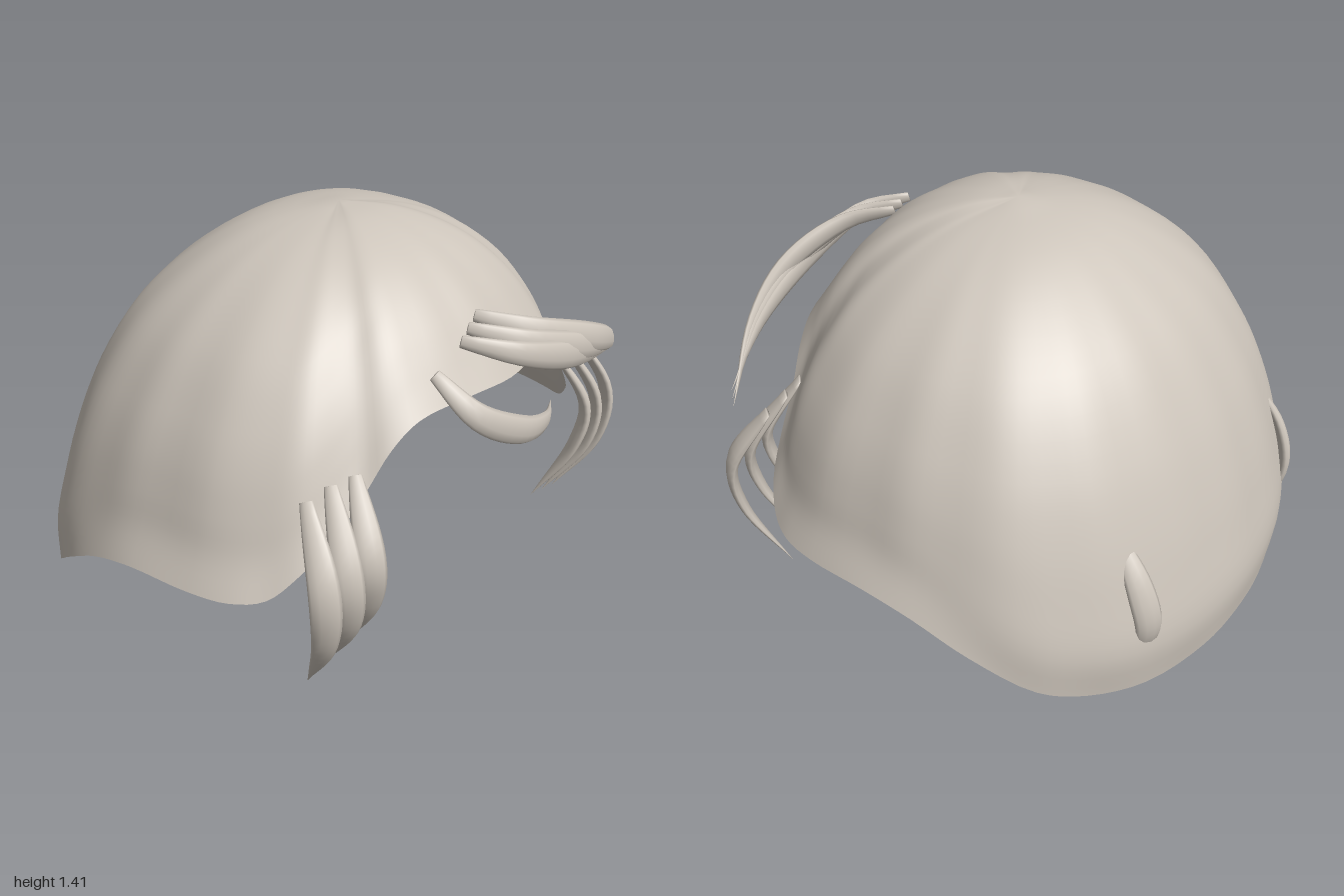
import * as THREE from 'three';
import { mergeVertices } from 'three/addons/utils/BufferGeometryUtils.js';

const V = (p) => new THREE.Vector3(...p);

function meshGeometry(positions, index) {
  let g = new THREE.BufferGeometry();
  g.setAttribute('position', new THREE.Float32BufferAttribute(positions, 3));
  g.setIndex(index);
  g = mergeVertices(g, 1e-5);
  g.computeVertexNormals();
  return g;
}

// Hem of the cap, from front centre round the left side to the back centre
const HEM = [
  [0, 0.96, 0.77], [0.2, 0.96, 0.74], [0.4, 0.94, 0.69], [0.5, 0.87, 0.66], [0.59, 0.75, 0.63],
  [0.7, 0.63, 0.6], [0.81, 0.53, 0.55], [0.89, 0.45, 0.48], [0.95, 0.43, 0.38], [0.985, 0.43, 0.24],
  [1, 0.43, 0], [0.985, 0.385, -0.18], [0.94, 0.28, -0.37], [0.83, 0.135, -0.565], [0.7, 0.07, -0.68],
  [0.5, 0.025, -0.795], [0.22, 0.005, -0.87], [0, 0, -0.885],
];

// Crown-to-hem profiles: [share of reach, share of drop]
const FRONT = [[0, 0], [0.2, 0.025], [0.38, 0.1], [0.54, 0.215], [0.68, 0.37], [0.79, 0.54], [0.87, 0.7], [0.94, 0.86], [1, 1]];
const SIDE = [[0, 0], [0.26, 0.05], [0.47, 0.147], [0.67, 0.315], [0.8, 0.5], [0.865, 0.63], [0.91, 0.76], [0.945, 0.88], [1, 1]];
const BACK = [[0, 0], [0.29, 0.042], [0.5, 0.125], [0.68, 0.24], [0.83, 0.41], [0.92, 0.57], [0.98, 0.72], [1.022, 0.87], [1, 1]];

const profile = (pts) => new THREE.CatmullRomCurve3(pts.map(([h, v]) => new THREE.Vector3(h, v, 0)));

function capGeometry() {
  const mirrored = HEM.slice(1, -1).reverse().map(([x, y, z]) => [-x, y, z]);
  const hem = new THREE.CatmullRomCurve3([...HEM, ...mirrored].map(V), true);
  const [front, side, back] = [FRONT, SIDE, BACK].map(profile);
  const crown = new THREE.Vector3(0, 1.41, 0.06);
  const around = 136, down = 32;
  const pos = [], index = [];
  for (let i = 0; i < around; i++) {
    const end = hem.getPoint(i / around);
    const toFront = THREE.MathUtils.clamp((end.y - 0.43) / 0.53, 0, 1);
    const toBack = THREE.MathUtils.clamp((0.43 - end.y) / 0.43, 0, 1);
    const angle = Math.atan2(end.x, end.z - crown.z);
    for (let j = 0; j <= down; j++) {
      const t = j / down;
      const s = side.getPoint(t);
      s.lerp(front.getPoint(t), toFront).lerp(back.getPoint(t), toBack);
      // soft combed grooves fading out at crown and hem
      const reach = s.x * (1 + 0.006 * Math.cos(angle * 18) * Math.sin(Math.PI * t));
      pos.push(
        crown.x + (end.x - crown.x) * reach,
        crown.y + (end.y - crown.y) * s.y,
        crown.z + (end.z - crown.z) * reach,
      );
    }
  }
  for (let i = 0; i < around; i++) {
    for (let j = 0; j < down; j++) {
      const a = i * (down + 1) + j, b = ((i + 1) % around) * (down + 1) + j;
      index.push(a, a + 1, b + 1);
      if (j > 0) index.push(a, b + 1, b);
    }
  }
  return meshGeometry(pos, index);
}

// Flattened lock swept along a path, facing away from the head:
// blunt root, full middle, pointed tip
function lockGeometry(points, width, depth) {
  const path = new THREE.CatmullRomCurve3(points.map(V));
  const steps = 22, sides = 10;
  const pos = [], index = [];
  const swell = (t) => (t < 0.4
    ? 0.42 + 0.58 * Math.sin((t / 0.4) * Math.PI / 2)
    : Math.max(0.02, Math.cos(((t - 0.4) / 0.6) * Math.PI / 2)));
  for (let s = 0; s <= steps; s++) {
    const t = s / steps;
    const p = path.getPointAt(t), tangent = path.getTangentAt(t);
    const normal = new THREE.Vector3(p.x, 0, p.z).normalize();
    normal.addScaledVector(tangent, -tangent.dot(normal)).normalize();
    const across = tangent.clone().cross(normal);
    for (let k = 0; k < sides; k++) {
      const a = (k / sides) * Math.PI * 2;
      const q = p.clone()
        .addScaledVector(across, Math.cos(a) * width / 2 * swell(t))
        .addScaledVector(normal, Math.sin(a) * depth / 2 * swell(t));
      pos.push(q.x, q.y, q.z);
    }
  }
  for (let s = 0; s < steps; s++) {
    for (let k = 0; k < sides; k++) {
      const a = s * sides + k, b = s * sides + (k + 1) % sides;
      index.push(a, a + sides, b, b, a + sides, b + sides);
    }
  }
  // root and tip caps
  const last = steps * sides;
  for (let k = 1; k < sides - 1; k++) {
    index.push(0, k, k + 1, last, last + k + 1, last + k);
  }
  return meshGeometry(pos, index);
}

export function createModel() {
  const model = new THREE.Group();
  model.name = 'hair';
  const hair = new THREE.MeshStandardMaterial({ color: 0xcdc5bb });
  hair.name = 'pale beige hair';
  hair.side = THREE.DoubleSide;

  const add = (name, geometry) => {
    const mesh = new THREE.Mesh(geometry, hair);
    mesh.name = name;
    model.add(mesh);
  };

  add('hairCap', capGeometry());

  // Three curved locks in front of each ear
  const sideLocks = [
    [[0.79, 0.79, 0.56], [0.865, 0.56, 0.69], [0.85, 0.36, 0.68], [0.775, 0.11, 0.55]],
    [[0.685, 0.8, 0.57], [0.765, 0.56, 0.7], [0.745, 0.38, 0.69], [0.67, 0.14, 0.56]],
    [[0.59, 0.8, 0.59], [0.665, 0.57, 0.71], [0.64, 0.4, 0.69], [0.565, 0.17, 0.57]],
  ];
  for (const sign of [1, -1]) {
    sideLocks.forEach((pts, i) => add(
      `${sign > 0 ? 'left' : 'right'}SideLock${i + 1}`,
      lockGeometry(pts.map(([x, y, z]) => [x * sign, y, z]), 0.1, 0.04),
    ));
  }

  // Row of locks at the nape
  [-2, -1, 0, 1, 2].forEach((n, i) => {
    const x = n * 0.255;
    add(`napeLock${i + 1}`, lockGeometry([
      [x * 0.99, 0.62, -0.66], [x * 1.03, 0.46, -0.76], [x * 1.01, 0.28, -0.795], [x * 0.9, 0.005, -0.66],
    ], 0.1, 0.045));
  });

  // Long fringe locks swept to the left
  for (let i = 0; i < 3; i++) {
    const dx = i * 0.075, dz = -i * 0.025;
    add(`longFringeLock${i + 1}`, lockGeometry([
      [-0.2 + dx, 1.14 + i * 0.012, 0.7 + dz], [-0.09 + dx, 1.1 + i * 0.01, 0.83 + dz * 0.6],
      [0.15 + dx, 1.02 + i * 0.005, 0.88], [0.48 + dx * 0.4, 0.925, 0.84],
      [0.78 + i * 0.015, 0.81 - i * 0.02, 0.73 - i * 0.015],
    ], 0.1, 0.045));
  }

  // Short fringe lock
  add('shortFringeLock', lockGeometry([
    [-0.31, 1.06, 0.68], [-0.26, 0.94, 0.81], [-0.07, 0.83, 0.865], [0.12, 0.775, 0.84], [0.34, 0.73, 0.74],
  ], 0.1, 0.045));

  return model;
}
